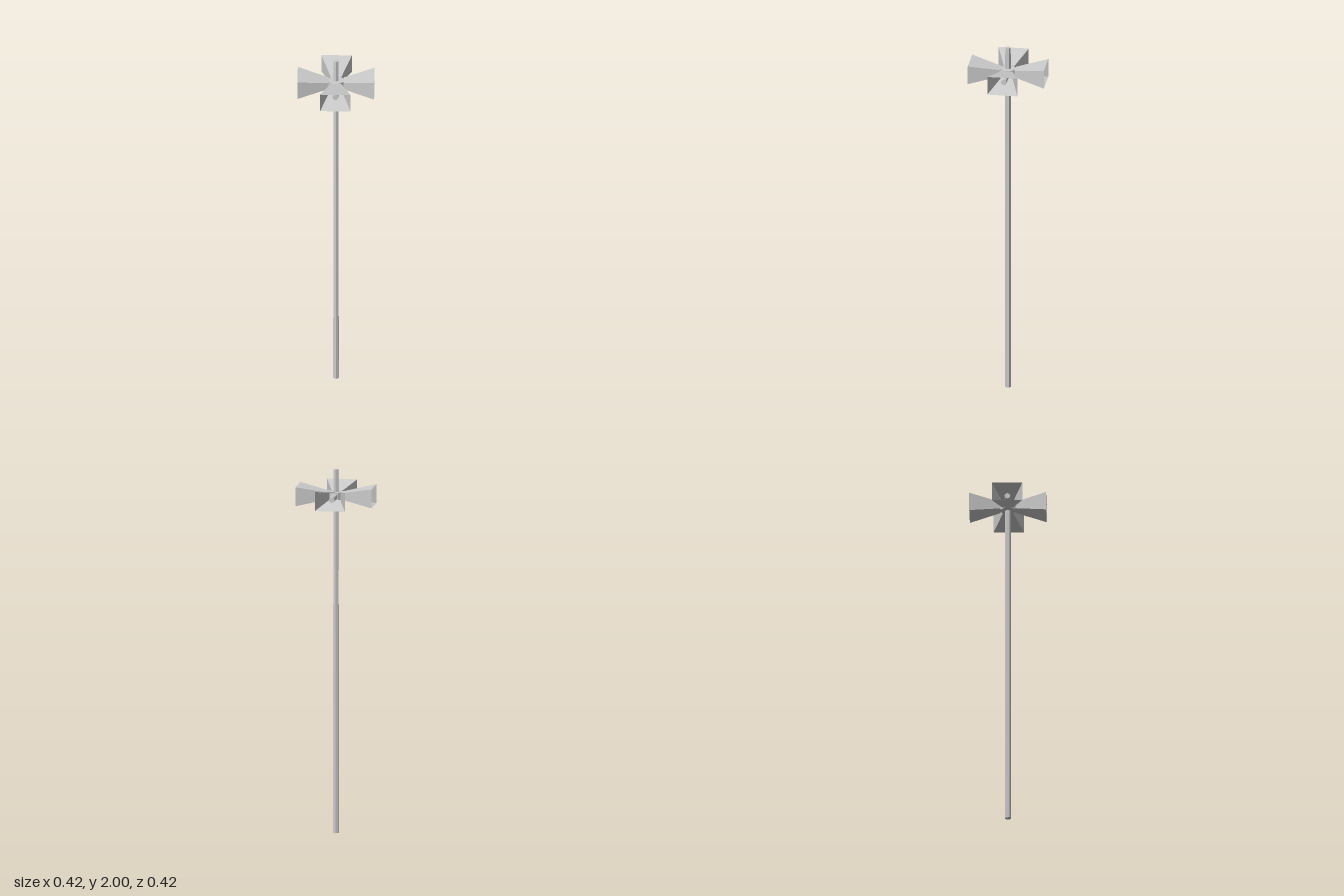
import * as THREE from 'three';

export function createModel() {
  const model = new THREE.Group();
  const solid = new THREE.MeshStandardMaterial({ color: 0xcccccc, flatShading: true });
  const sheet = new THREE.MeshStandardMaterial({ color: 0xcccccc, flatShading: true, side: THREE.DoubleSide });
  const hornY = 1.857;

  const add = (parent, name, geometry, material = solid) => {
    const mesh = new THREE.Mesh(geometry, material);
    mesh.name = name;
    parent.add(mesh);
    return mesh;
  };

  // Slightly tapered hexagonal pole
  add(model, 'pole', new THREE.CylinderGeometry(0.015, 0.0175, 2, 6)).position.y = 1;

  // Octagonal hub with flats facing the horns
  const hubRadius = 0.04 / Math.cos(Math.PI / 8);
  add(model, 'hub', new THREE.CylinderGeometry(hubRadius, hubRadius, 0.04, 8).rotateY(Math.PI / 8)).position.y = hornY;

  // Flared rectangular horn, open at both ends, along +z
  const inner = 0.04, outer = 0.208;
  const hornGeometry = new THREE.CylinderGeometry(
    0.0825 * Math.SQRT2, 0.03 * Math.SQRT2, outer - inner, 4, 1, true, Math.PI / 4)
    .rotateX(Math.PI / 2)
    .scale(1, 0.63, 1)
    .translate(0, 0, (inner + outer) / 2);

  // Small driver rod inside each horn
  const driverGeometry = new THREE.CylinderGeometry(0.016, 0.016, 0.12, 8)
    .rotateX(Math.PI / 2)
    .translate(0, 0, 0.09);

  // Four horns around the pole
  ['front', 'left', 'back', 'right'].forEach((side, i) => {
    const horn = new THREE.Group();
    horn.name = side + 'Horn';
    add(horn, 'flare', hornGeometry, sheet);
    add(horn, 'driver', driverGeometry);
    horn.position.y = hornY;
    horn.rotation.y = i * Math.PI / 2;
    model.add(horn);
  });

  return model;
}
